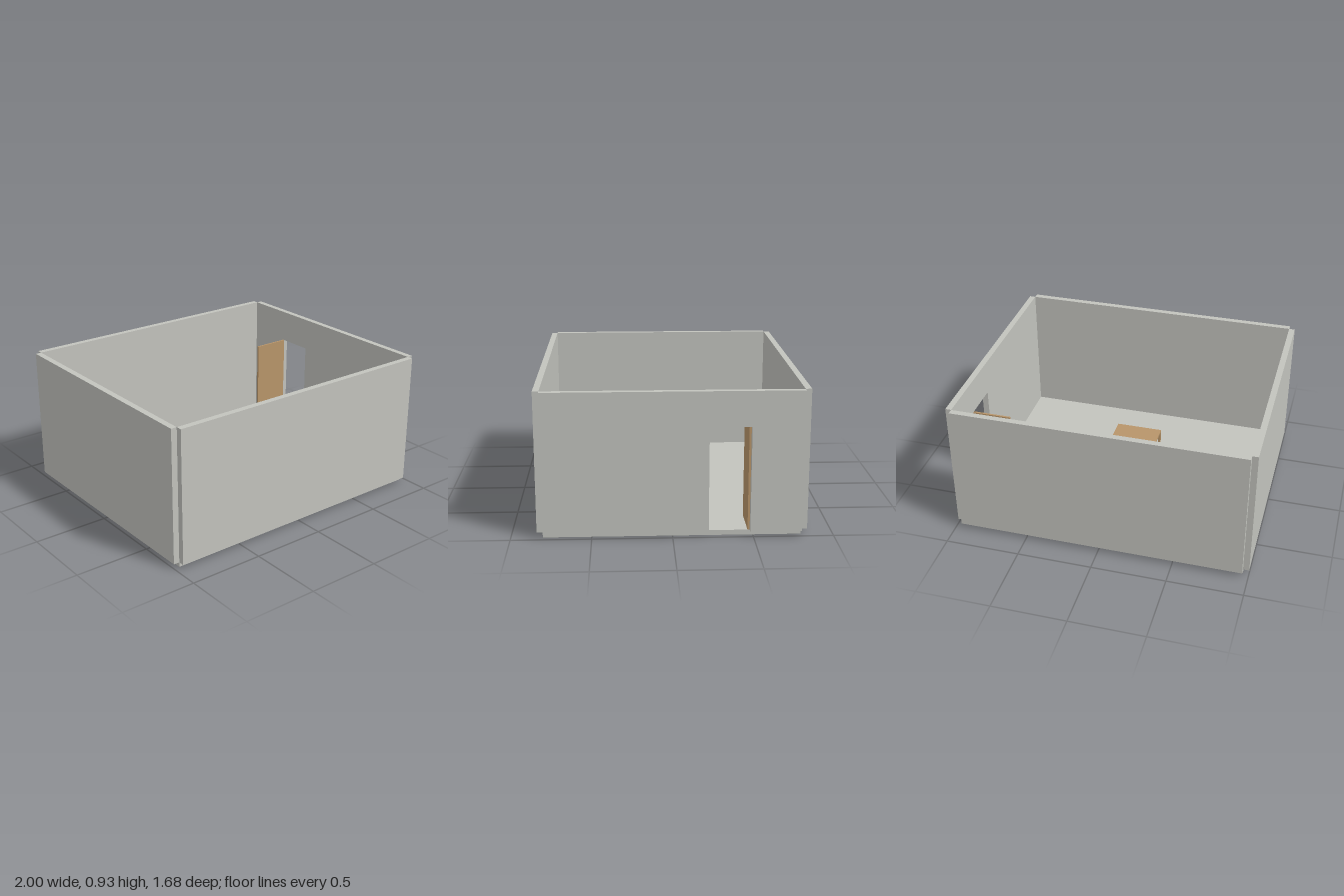
import * as THREE from 'three';

export function createModel() {
  const room = new THREE.Group();
  room.name = 'room';

  const material = (name, color) => {
    const m = new THREE.MeshStandardMaterial({ color });
    m.name = name;
    return m;
  };
  const plaster = material('plasterGrey', 0xc2c3bd);
  const wood = material('wood', 0xb8956a);
  const teal = material('tealSeat', 0x4d969b);

  // Box given by its minimum and maximum corners
  const box = (parent, name, mat, [x0, y0, z0], [x1, y1, z1]) => {
    const mesh = new THREE.Mesh(new THREE.BoxGeometry(x1 - x0, y1 - y0, z1 - z0), mat);
    mesh.position.set((x0 + x1) / 2, (y0 + y1) / 2, (z0 + z1) / 2);
    mesh.name = name;
    parent.add(mesh);
  };
  const group = (name) => {
    const g = new THREE.Group();
    g.name = name;
    room.add(g);
    return g;
  };
  // Four square legs inside a footprint
  const legs = (parent, name, mat, x, z0, z1, top, t) => {
    for (const lx of [-x, x - t])
      for (const lz of [z0, z1 - t])
        box(parent, name, mat, [lx, floorTop, lz], [lx + t, top, lz + t]);
  };

  const floorTop = 0.032, wallTop = 0.929;
  const halfX = 0.96, halfZ = 0.8, thick = 0.04;

  // Floor slab and the three plain walls
  box(room, 'floor', plaster, [-halfX, 0, -halfZ], [halfX, floorTop, halfZ]);
  box(room, 'frontWall', plaster, [-halfX, floorTop, halfZ], [halfX, wallTop, halfZ + thick]);
  box(room, 'backWall', plaster, [-halfX, floorTop, -halfZ - thick], [halfX, wallTop, -halfZ]);
  box(room, 'rightWall', plaster, [-halfX - thick, floorTop, -halfZ], [-halfX, wallTop, halfZ]);

  // Wall with the doorway: outline drawn in (-z, y), extruded along x
  const doorNear = 0.222, doorFar = 0.48, doorTop = 0.705;
  const outline = new THREE.Shape([
    [-halfZ, floorTop], [doorNear, floorTop], [doorNear, doorTop], [doorFar, doorTop],
    [doorFar, floorTop], [halfZ, floorTop], [halfZ, wallTop], [-halfZ, wallTop],
  ].map(([u, v]) => new THREE.Vector2(u, v)));
  const doorWall = new THREE.Mesh(
    new THREE.ExtrudeGeometry(outline, { depth: thick, bevelEnabled: false }), plaster);
  doorWall.rotation.y = Math.PI / 2;
  doorWall.position.x = halfX;
  doorWall.name = 'doorwayWall';
  room.add(doorWall);

  // Door leaf standing open into the room
  box(room, 'door', wood, [0.703, floorTop, -doorFar], [halfX, doorTop, -doorFar + 0.013]);

  // Desk
  const desk = group('desk');
  box(desk, 'deskTop', wood, [-0.16, 0.259, 0.06], [0.16, 0.272, 0.252]);
  legs(desk, 'deskLeg', wood, 0.16, 0.06, 0.252, 0.259, 0.016);

  // Chair facing the desk
  const chair = group('chair');
  box(chair, 'seat', teal, [-0.08, 0.163, -0.115], [0.08, 0.176, 0.045]);
  box(chair, 'backrest', teal, [-0.08, 0.176, -0.115], [0.08, 0.32, -0.102]);
  legs(chair, 'chairLeg', teal, 0.08, -0.115, 0.045, 0.163, 0.013);

  return room;
}
